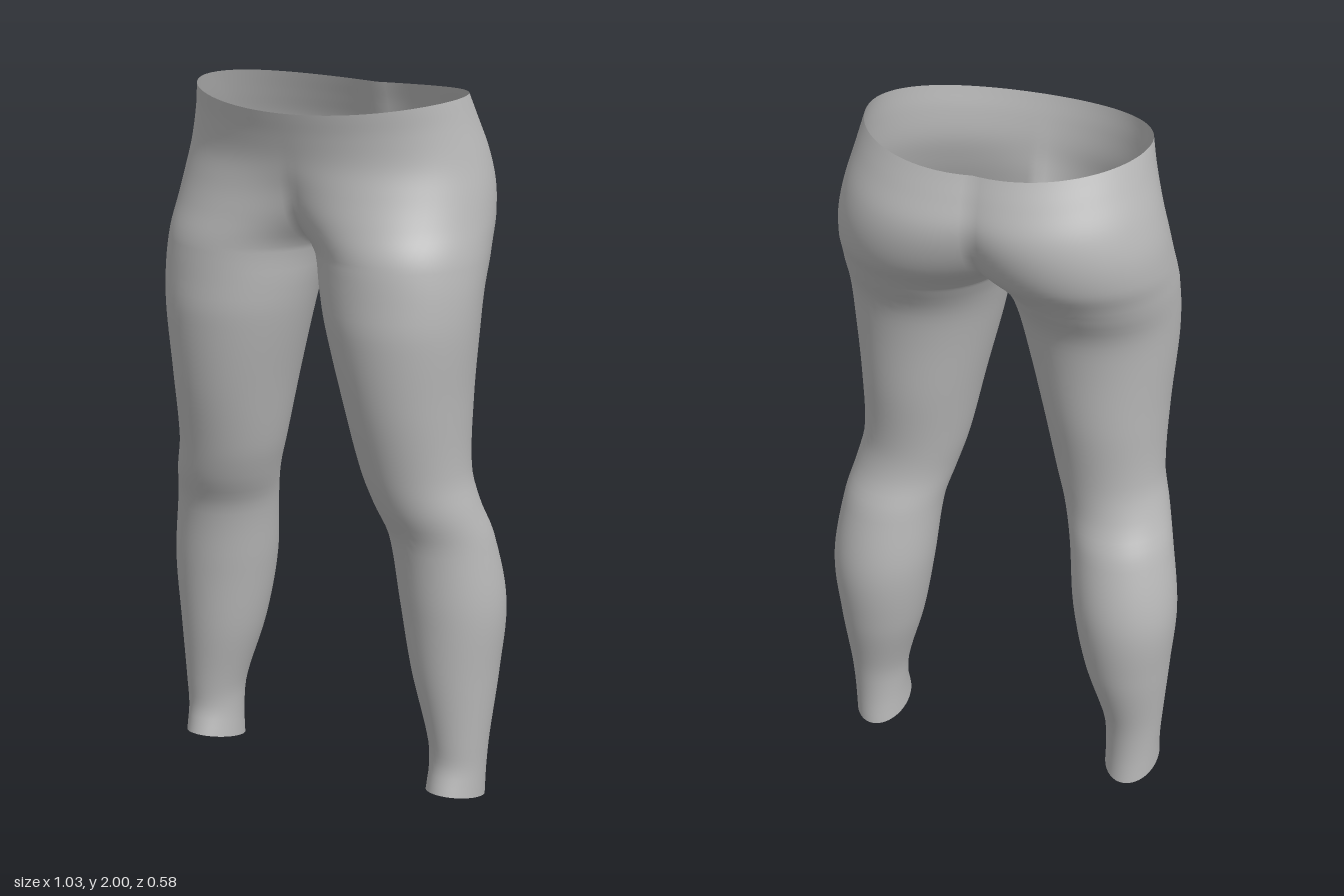
import * as THREE from 'three';
import { mergeGeometries, mergeVertices } from 'three/addons/utils/BufferGeometryUtils.js';

// Half sections from waist to ankle: height, outer x, front and back reach in z,
// inner x of the front and back curves (negative = cut at the middle of the hips).
const SECTIONS = [
  [2.00, 0.38, 0.290, -0.238, -0.38, -0.24],
  [1.93, 0.397, 0.273, -0.262, -0.38, -0.22],
  [1.84, 0.422, 0.258, -0.286, -0.34, -0.19],
  [1.76, 0.441, 0.255, -0.284, -0.22, -0.15],
  [1.68, 0.452, 0.265, -0.258, -0.11, -0.09],
  [1.62, 0.457, 0.276, -0.215, -0.03, -0.03],
  [1.58, 0.459, 0.281, -0.190, 0, 0],
  [1.50, 0.459, 0.287, -0.145, 0.02, 0.02],
  [1.40, 0.455, 0.291, -0.125, 0.043, 0.043],
  [1.20, 0.440, 0.268, -0.108, 0.093, 0.093],
  [1.00, 0.438, 0.225, -0.085, 0.138, 0.138],
  [0.90, 0.460, 0.198, -0.093, 0.168, 0.168],
  [0.80, 0.485, 0.160, -0.128, 0.196, 0.196],
  [0.60, 0.513, 0.140, -0.164, 0.220, 0.220],
  [0.40, 0.500, 0.124, -0.143, 0.257, 0.257],
  [0.20, 0.483, 0.102, -0.094, 0.314, 0.314],
  [0.11, 0.477, 0.100, -0.085, 0.322, 0.322],
  [0.03, 0.475, 0.122, -0.090, 0.320, 0.320],
];

// Smooth interpolation of a section at height y
function sectionAt(y) {
  const last = SECTIONS.length - 1;
  let k = 0;
  while (k < last - 1 && y < SECTIONS[k + 1][0]) k++;
  const slope = (i, c) => {
    const a = SECTIONS[Math.max(i - 1, 0)], b = SECTIONS[Math.min(i + 1, last)];
    return (b[c] - a[c]) / (b[0] - a[0]);
  };
  const p = SECTIONS[k], q = SECTIONS[k + 1], h = q[0] - p[0];
  const t = (y - p[0]) / h, t2 = t * t, t3 = t2 * t;
  return p.map((v, c) => (2 * t3 - 3 * t2 + 1) * v + (t3 - 2 * t2 + t) * h * slope(k, c)
    + (3 * t2 - 2 * t3) * q[c] + (t3 - t2) * h * slope(k + 1, c));
}

// One side of the garment: open arcs over the hips, closed rings down the leg
function halfGeometry(side) {
  const CROTCH = 1.58, BOTTOM = 0.03, HIP_ROWS = 28, LEG_ROWS = 60, COLS = 24;
  const heights = [];
  for (let i = 0; i < HIP_ROWS; i++) heights.push(2 - (2 - CROTCH) * i / HIP_ROWS);
  for (let i = 0; i <= LEG_ROWS; i++) heights.push(CROTCH - (CROTCH - BOTTOM) * i / LEG_ROWS);

  const positions = [], index = [], width = 2 * COLS + 1;
  for (const y of heights) {
    const [, xo, zf, zb, xif, xib] = sectionAt(y);
    const cz = (zf + zb) / 2, rz = (zf - zb) / 2;
    const waist = THREE.MathUtils.smoothstep(y, 1.75, 2) * 0.03;
    const cuff = (1 - THREE.MathUtils.smoothstep(y, BOTTOM, 0.22)) * 0.03;
    for (let j = 0; j < width; j++) {
      const u = 1 - j / COLS;
      const xi = u >= 0 ? xif : xib;
      const cx = (xo + xi) / 2, rx = (xo - xi) / 2;
      const reach = y > CROTCH + 1e-6 ? Math.acos(Math.max(-1, -cx / rx)) : Math.PI;
      const a = u * reach;
      const x = Math.max(0, cx + rx * Math.cos(a));
      const dip = waist * (1 - Math.min(1, (x / 0.38) ** 2));
      positions.push(side * x, y - dip + cuff * Math.sin(a), cz + rz * Math.sin(a));
    }
  }
  for (let i = 0; i < heights.length - 1; i++) {
    for (let j = 0; j < width - 1; j++) {
      const a = i * width + j, b = a + width, c = b + 1, d = a + 1;
      if (side > 0) index.push(a, b, c, a, c, d);
      else index.push(a, c, b, a, d, c);
    }
  }
  const geometry = new THREE.BufferGeometry();
  geometry.setAttribute('position', new THREE.Float32BufferAttribute(positions, 3));
  geometry.setIndex(index);
  return geometry;
}

export function createModel() {
  const fabric = new THREE.MeshStandardMaterial({ color: 0xb8b8b8, side: THREE.DoubleSide });
  fabric.name = 'grey fabric';

  // Both halves welded along the middle so the shading runs smoothly across
  const geometry = mergeVertices(mergeGeometries([halfGeometry(1), halfGeometry(-1)]), 1e-4);
  geometry.computeVertexNormals();

  const leggings = new THREE.Mesh(geometry, fabric);
  leggings.name = 'leggings';
  const model = new THREE.Group();
  model.name = 'leggingsModel';
  model.add(leggings);
  return model;
}
